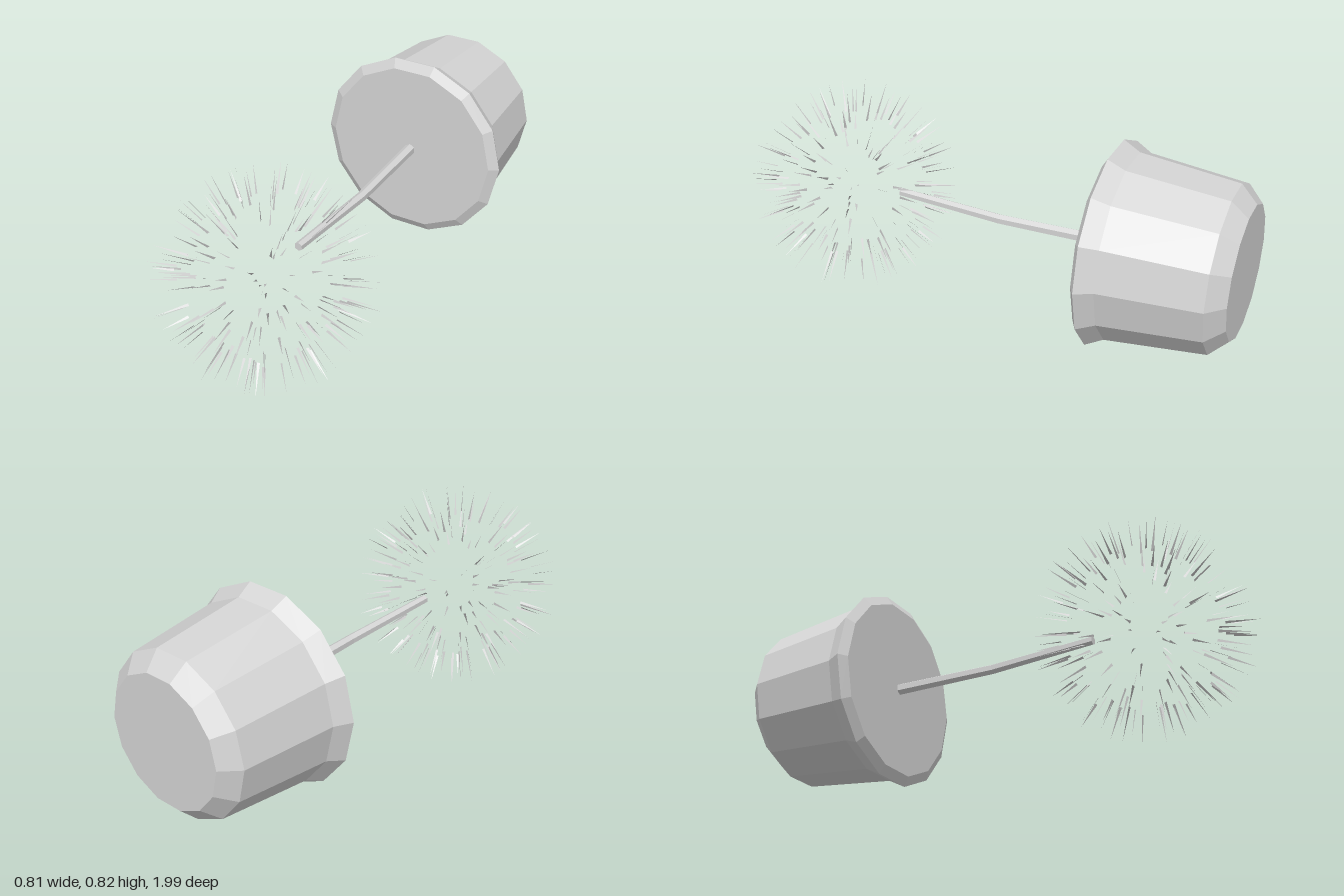
import * as THREE from 'three';

// Small seeded generator for the natural scatter of the needles
function makeRandom(seed) {
  return () => {
    seed = (seed * 16807) % 2147483647;
    return seed / 2147483647;
  };
}

export function createModel() {
  const model = new THREE.Group();
  model.name = 'pottedPuffPlant';
  const grey = new THREE.MeshStandardMaterial({ color: 0xd4d4d4 });
  grey.name = 'grey';
  grey.flatShading = true;
  grey.side = THREE.DoubleSide;

  const add = (name, geometry) => {
    const mesh = new THREE.Mesh(geometry, grey);
    mesh.name = name;
    model.add(mesh);
  };

  // Fourteen-sided pot lying on its side: base, wall, flared rim, soil face
  const profile = [
    [0, -1], [0.252, -1], [0.315, -0.937], [0.354, -0.56],
    [0.389, -0.495], [0.352, -0.473], [0, -0.473],
  ].map(([r, h]) => new THREE.Vector2(r, h));
  const pot = new THREE.LatheGeometry(profile, 14, Math.PI / 2);
  pot.rotateX(Math.PI / 2);
  pot.translate(0, 0.415, 0);
  add('pot', pot);

  // Slender stem with a slight bend at mid-length
  const stem = new THREE.CylinderGeometry(0.017, 0.023, 0.86, 6, 2);
  stem.rotateX(Math.PI / 2);
  stem.translate(0, 0, -0.055);
  const p = stem.attributes.position;
  for (let i = 0; i < p.count; i++) {
    const z = p.getZ(i);
    const bend = 1 - Math.abs(z + 0.055) / 0.43;
    p.setX(i, p.getX(i) + 0.014 * bend);
    p.setY(i, p.getY(i) + 0.413 + Math.max(0, z) * 0.037);
  }
  stem.computeVertexNormals();
  add('stem', stem);

  // Spherical puff of thin flat needles, scattered and pointing outwards
  const random = makeRandom(90127);
  const centre = new THREE.Vector3(0, 0.418, 0.582);
  const count = 190;
  const corners = [];
  for (let i = 0; i < count; i++) {
    const h = 1 - (2 * (i + random())) / count;
    const angle = i * 2.39996 + (random() - 0.5) * 0.8;
    const r = Math.sqrt(1 - h * h);
    const out = new THREE.Vector3(r * Math.cos(angle), h, r * Math.sin(angle));
    const side = new THREE.Vector3(random() - 0.5, random() - 0.5, random() - 0.5)
      .cross(out).normalize();
    const base = centre.clone().addScaledVector(out, 0.28 + random() * 0.04);
    const tip = centre.clone().addScaledVector(out, 0.4 + random() * 0.02);
    corners.push(
      base.clone().addScaledVector(side, -0.005),
      base.clone().addScaledVector(side, 0.005),
      tip,
    );
  }
  const needles = new THREE.BufferGeometry().setFromPoints(corners);
  needles.computeVertexNormals();
  add('needles', needles);

  return model;
}
